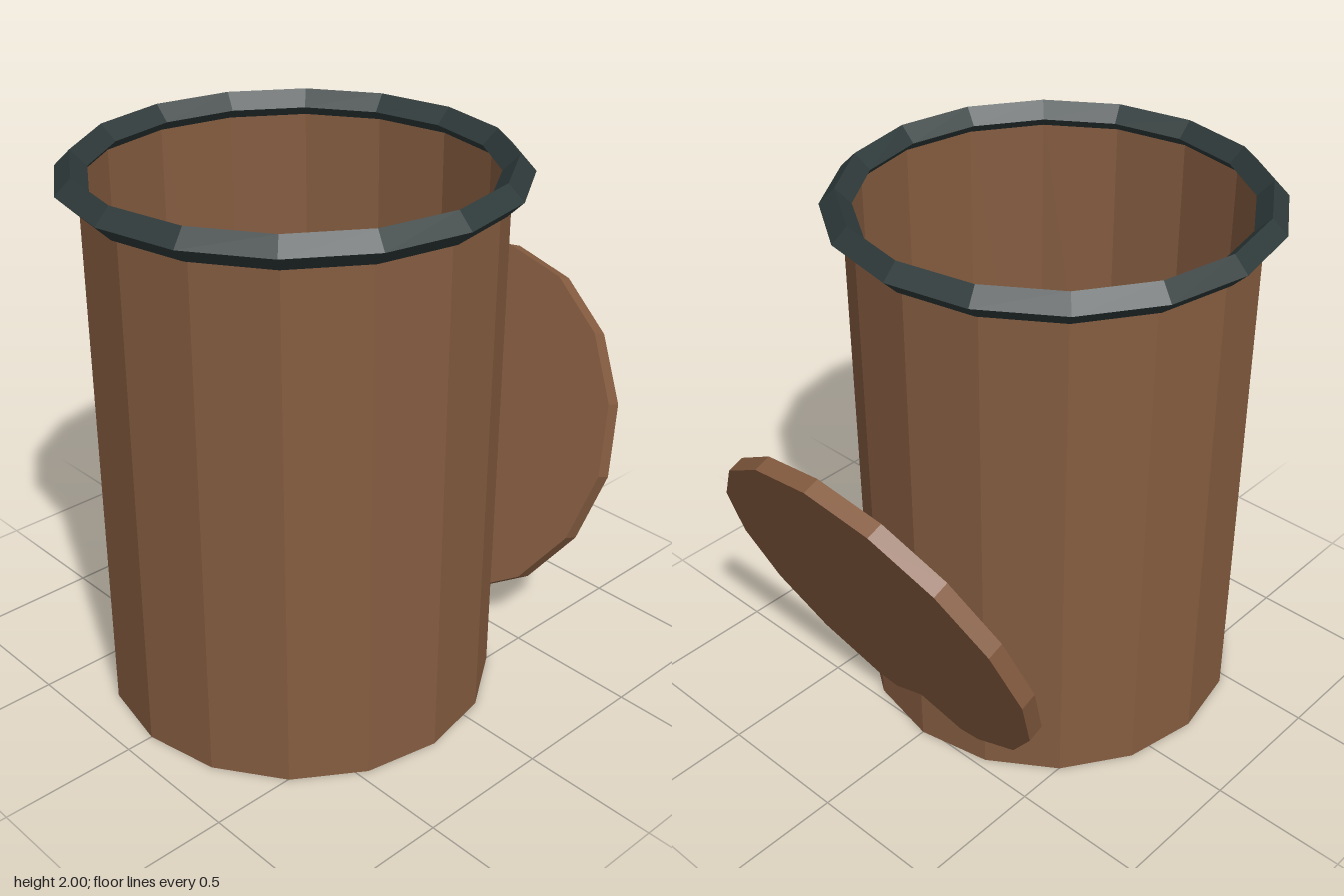
import * as THREE from 'three';

const SIDES = 16;

export function createModel() {
  const model = new THREE.Group();
  model.name = 'openBarrel';

  const flat = (name, color, side = THREE.FrontSide) => {
    const m = new THREE.MeshStandardMaterial({ color, side, flatShading: true });
    m.name = name;
    return m;
  };
  const wood = flat('brown wood', 0x855c40, THREE.DoubleSide);
  const iron = flat('dark iron', 0x2f3a3a, THREE.DoubleSide);

  const add = (name, geometry, material, x, y, parent) => {
    const mesh = new THREE.Mesh(geometry, material);
    mesh.name = name;
    mesh.position.set(x, y, 0);
    parent.add(mesh);
    return mesh;
  };

  // Barrel: open wall, raised floor and diamond-section rim
  const barrel = new THREE.Group();
  barrel.name = 'barrel';
  barrel.position.x = -0.19;
  model.add(barrel);

  const height = 1.945;
  add('wall', new THREE.CylinderGeometry(0.71, 0.71, height, SIDES, 1, true), wood, 0, height / 2, barrel);
  add('floor', new THREE.CircleGeometry(0.705, SIDES).rotateX(-Math.PI / 2), iron, 0, 0.055, barrel);
  add('rim', new THREE.TorusGeometry(0.73, 0.055, 4, SIDES).rotateX(Math.PI / 2), iron, 0, height, barrel);

  // Lid leaning outwards, its lowest edge sunk into the wall
  const lid = add('lid', new THREE.CylinderGeometry(0.69, 0.69, 0.063, SIDES), wood, 0.693, 0.728, model);
  lid.rotation.z = THREE.MathUtils.degToRad(68.9);

  return model;
}
